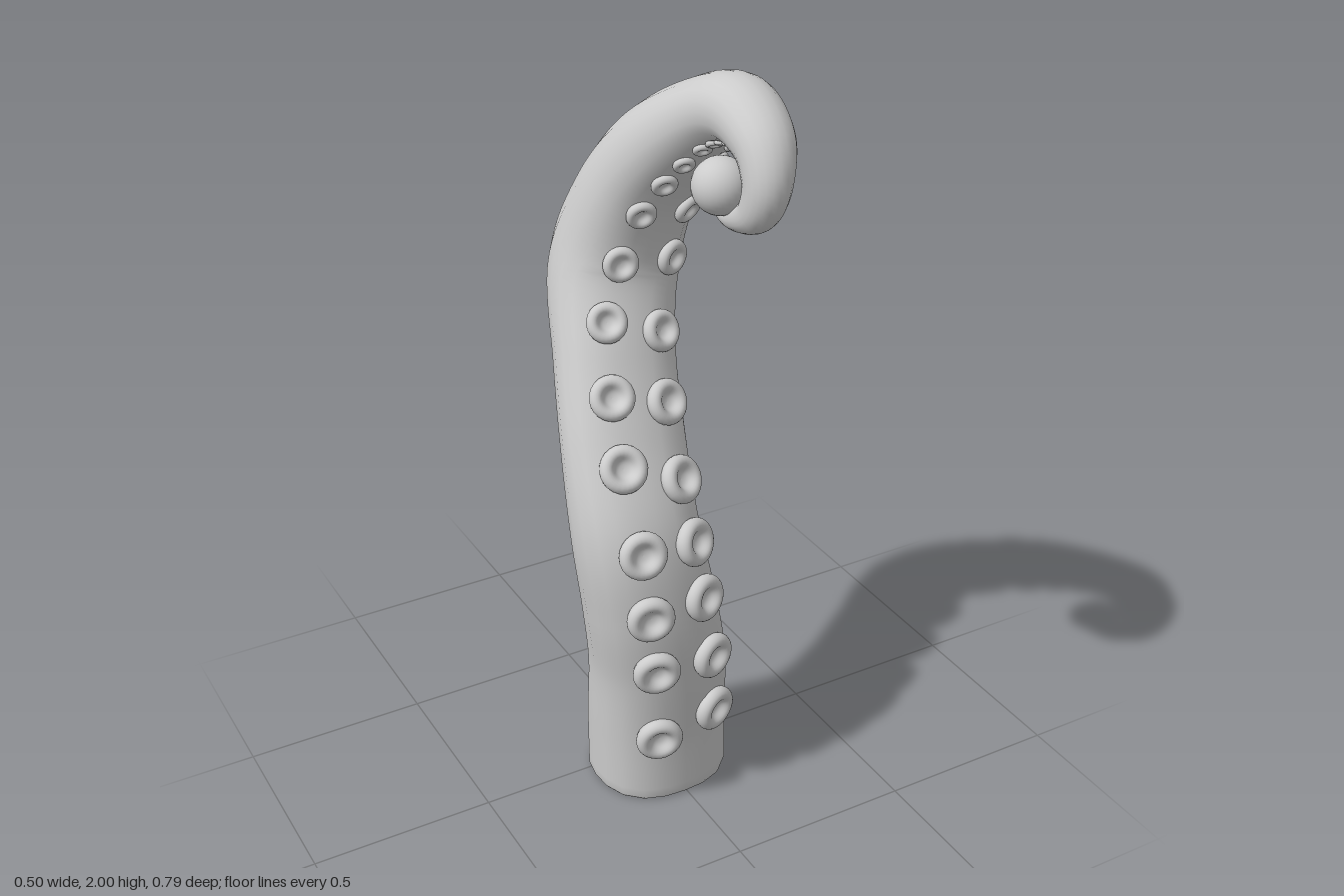
import * as THREE from 'three';

// Stations along the arm: centre x, y, z, half width, half depth
const STATIONS = [
  [-0.005, 0, 0.045, 0.188, 0.177],
  [-0.01, 0.2, 0.05, 0.187, 0.176],
  [-0.02, 0.4, 0.07, 0.183, 0.172],
  [-0.055, 0.6, 0.088, 0.176, 0.16],
  [-0.083, 0.8, 0.07, 0.168, 0.146],
  [-0.067, 1.0, -0.015, 0.167, 0.122],
  [-0.03, 1.2, -0.13, 0.162, 0.127],
  [0.025, 1.4, -0.24, 0.168, 0.153],
  [0.068, 1.6, -0.202, 0.156, 0.132],
  [0.108, 1.755, -0.105, 0.139, 0.116],
  [0.142, 1.88, 0.045, 0.108, 0.088],
  [0.152, 1.92, 0.165, 0.093, 0.079],
  [0.141, 1.88, 0.285, 0.076, 0.066],
  [0.122, 1.8, 0.337, 0.058, 0.057],
  [0.112, 1.727, 0.318, 0.05, 0.047],
  [0.105, 1.692, 0.255, 0.042, 0.034],
  [0.1, 1.688, 0.2, 0.031, 0.022],
  [0.098, 1.698, 0.158, 0.009, 0.009],
];
const LAST = STATIONS.length - 1;
const RINGS = 136, SIDES = 20;

const spline = (pick) => new THREE.CatmullRomCurve3(STATIONS.map(pick), false, 'catmullrom', 0.5);
const path = spline((s) => new THREE.Vector3(s[0], s[1], s[2]));
const sizes = spline((s) => new THREE.Vector3(s[3], s[4], 0));

// Centre and axes of the cross-section at t (0..1)
function frameAt(t) {
  const tangent = path.getTangent(t);
  const side = new THREE.Vector3(1, 0, 0).addScaledVector(tangent, -tangent.x).normalize();
  const front = new THREE.Vector3().crossVectors(side, tangent);
  return { centre: path.getPoint(t), size: sizes.getPoint(t), side, front };
}

// Skin point: u across, v towards the sucker face, both in -1..1
function skinPoint(f, u, v) {
  const p = f.centre.clone()
    .addScaledVector(f.side, u * f.size.x)
    .addScaledVector(f.front, v * f.size.y);
  p.y = Math.max(p.y, 0);
  return p;
}

// Rounded back, flatter sucker face
const EXP = 2.5;
const faceHeight = (u) => Math.pow(1 - Math.pow(Math.abs(u), EXP), 1 / EXP);
function section(a) {
  const s = Math.sin(a), c = Math.cos(a);
  if (c <= 0) return [s, c];
  const k = Math.pow(Math.pow(Math.abs(s), EXP) + Math.pow(c, EXP), -1 / EXP);
  return [s * k, c * k];
}

function armGeometry() {
  const pos = [], index = [];
  const addRing = (t, scale, flatBase) => {
    const f = frameAt(t);
    for (let j = 0; j < SIDES; j++) {
      const [u, v] = section((j / SIDES) * Math.PI * 2);
      const p = skinPoint(f, u * scale, v * scale);
      pos.push(p.x, flatBase ? 0 : p.y, p.z);
    }
  };
  // Small bevel at the base, then the swept rings
  addRing(0, 0.97, true);
  for (let i = 0; i <= RINGS; i++) addRing(0.004 + (i / RINGS) * 0.996, 1, false);
  const rows = RINGS + 2;
  for (let i = 0; i < rows - 1; i++) {
    for (let j = 0; j < SIDES; j++) {
      const k = (j + 1) % SIDES;
      const a = i * SIDES + j, b = i * SIDES + k;
      index.push(a, b, a + SIDES, b, b + SIDES, a + SIDES);
    }
  }
  // Tip cap
  const tip = pos.length / 3, end = path.getPoint(1).addScaledVector(path.getTangent(1), 0.006);
  pos.push(end.x, end.y, end.z);
  for (let j = 0; j < SIDES; j++) {
    index.push((rows - 1) * SIDES + j, (rows - 1) * SIDES + ((j + 1) % SIDES), tip);
  }
  // Flat base with its own vertices for a sharp edge
  const base = pos.length / 3;
  addRing(0, 0.97, true);
  pos.push(STATIONS[0][0], 0, STATIONS[0][2]);
  for (let j = 0; j < SIDES; j++) index.push(base + SIDES, base + ((j + 1) % SIDES), base + j);

  const geo = new THREE.BufferGeometry();
  geo.setAttribute('position', new THREE.Float32BufferAttribute(pos, 3));
  geo.setIndex(index);
  geo.computeVertexNormals();
  return geo;
}

// Unit sucker: low rounded ring with a dished centre, axis +y
function suckerGeometry() {
  const pts = [[0.8, -0.3], [0.93, -0.12], [1, 0.08], [0.97, 0.26], [0.86, 0.4], [0.7, 0.45],
    [0.55, 0.4], [0.43, 0.28], [0.32, 0.17], [0.17, 0.1], [0, 0.08]];
  const curve = new THREE.SplineCurve(pts.map((p) => new THREE.Vector2(p[0], p[1])));
  const profile = curve.getPoints(18);
  profile[18].x = 0;
  return new THREE.LatheGeometry(profile, 24);
}

export function createModel() {
  const model = new THREE.Group();
  const mat = new THREE.MeshStandardMaterial({ color: 0xcccccc });
  const add = (name, geo) => {
    const mesh = new THREE.Mesh(geo, mat);
    mesh.name = name;
    model.add(mesh);
    return mesh;
  };

  add('tentacleArm', armGeometry());

  // Suckers in two rows along the inner face
  const suckerGeo = suckerGeometry();
  const up = new THREE.Vector3(0, 1, 0);
  const addSucker = (name, t, u, radius) => {
    const at = (tt, uu) => skinPoint(frameAt(tt), uu, faceHeight(uu));
    const p = at(t, u), e = 0.004;
    const across = at(t, u + 0.05).sub(at(t, u - 0.05));
    const along = at(t + e, u).sub(at(t - e, u));
    const mesh = add(name, suckerGeo);
    mesh.position.copy(p);
    mesh.quaternion.setFromUnitVectors(up, across.cross(along).normalize());
    mesh.scale.setScalar(radius);
  };
  // First t at which the face reaches the given height
  const tAtHeight = (y, u) => {
    let t = 0.01;
    while (t < 0.6 && skinPoint(frameAt(t), u, faceHeight(u)).y < y) t += 0.001;
    return t;
  };
  const rows = {
    rightSucker: [-1, [0.22, 0.455, 0.63, 0.81, 1.01, 1.165, 1.33, 1.465, 1.6, 1.69]],
    leftSucker: [1, [0.26, 0.45, 0.64, 0.8, 0.95, 1.125, 1.285, 1.45, 1.585, 1.68]],
  };
  for (const [name, [sign, heights]] of Object.entries(rows)) {
    for (const y of heights) {
      const u = sign * 0.45 + 0.03 + 0.1 * Math.exp(-(((y - 0.82) / 0.2) ** 2));
      const radius = y < 0.9 ? 0.064 : 0.064 - 0.03 * Math.pow((y - 0.9) / 0.79, 1.7);
      addSucker(name, tAtHeight(y, u), u, radius);
    }
    // Shrinking suckers under the arch
    [9.5, 9.95, 10.35, 10.75, 11.15].forEach((s, i) =>
      addSucker(name, s / LAST, sign * 0.42, 0.028 - i * 0.0035));
  }

  // Ball held inside the curl
  add('curledBall', new THREE.SphereGeometry(0.07, 28, 20)).position.set(0.07, 1.765, 0.216);
  return model;
}
